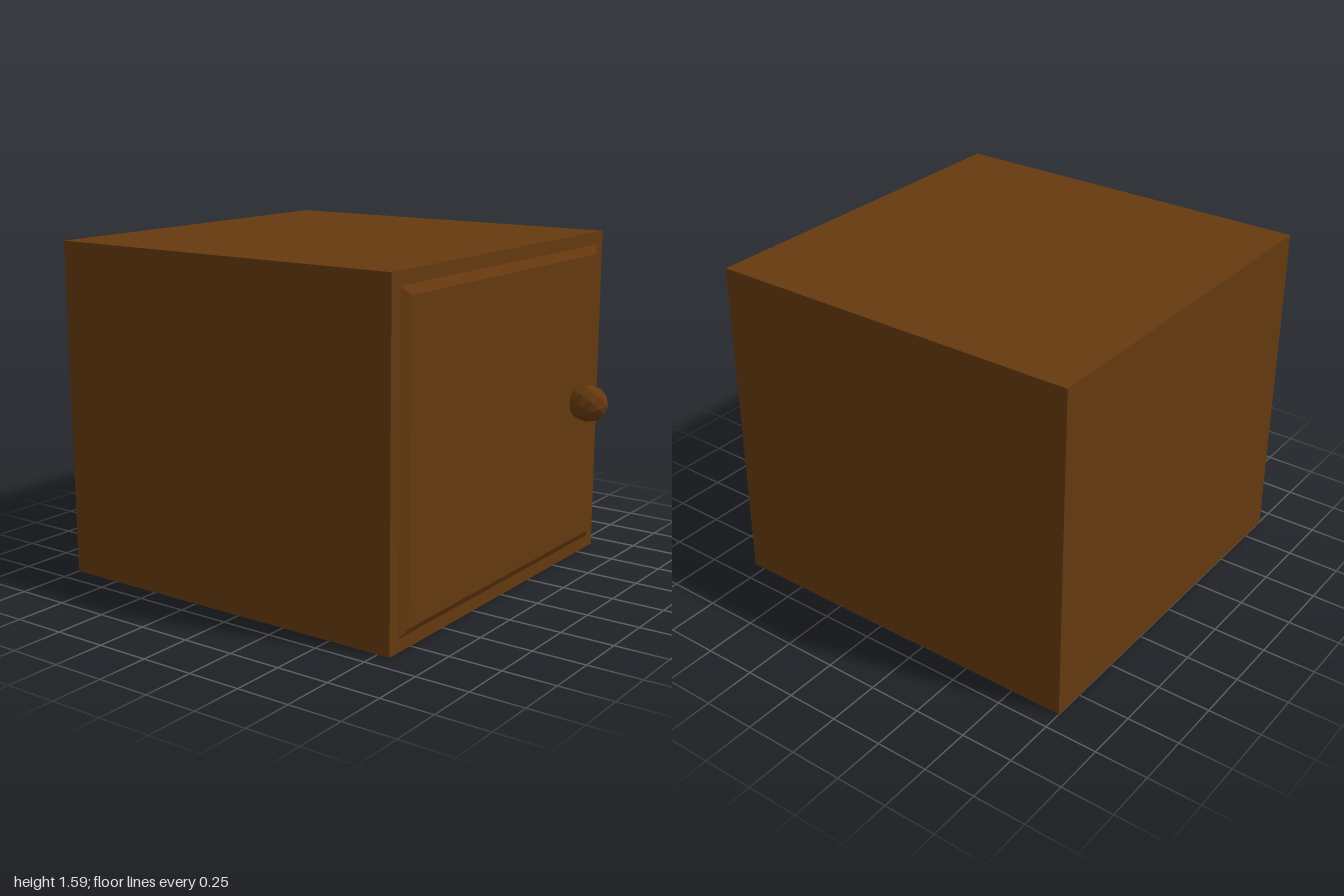
import * as THREE from 'three';

export function createModel() {
  const group = new THREE.Group();
  const wood = new THREE.MeshStandardMaterial({ color: 0x65390f });
  wood.name = 'brown wood';
  wood.flatShading = true;

  const add = (name, geometry, x, y, z) => {
    const mesh = new THREE.Mesh(geometry, wood);
    mesh.name = name;
    mesh.position.set(x, y, z);
    group.add(mesh);
    return mesh;
  };

  // Plain cabinet body
  add('cabinetBody', new THREE.BoxGeometry(1.81, 1.59, 1.81), 0, 0.795, -0.095);

  // Raised door panel whose front face is inset to give bevelled edges
  const door = new THREE.BoxGeometry(1.72, 1.5, 0.035);
  const p = door.attributes.position;
  for (let i = 0; i < p.count; i++) {
    if (p.getZ(i) > 0) {
      p.setX(i, Math.sign(p.getX(i)) * 0.8);
      p.setY(i, Math.sign(p.getY(i)) * 0.695);
    }
  }
  door.computeVertexNormals();
  add('doorPanel', door, 0, 0.795, 0.8175);

  // Faceted knob, one vertex pointing forward
  const knob = new THREE.IcosahedronGeometry(1, 1);
  knob.rotateX(Math.atan(2 / (1 + Math.sqrt(5))));
  knob.scale(0.088, 0.09, 0.1);
  add('doorKnob', knob, 0.632, 0.797, 0.9);

  return group;
}
